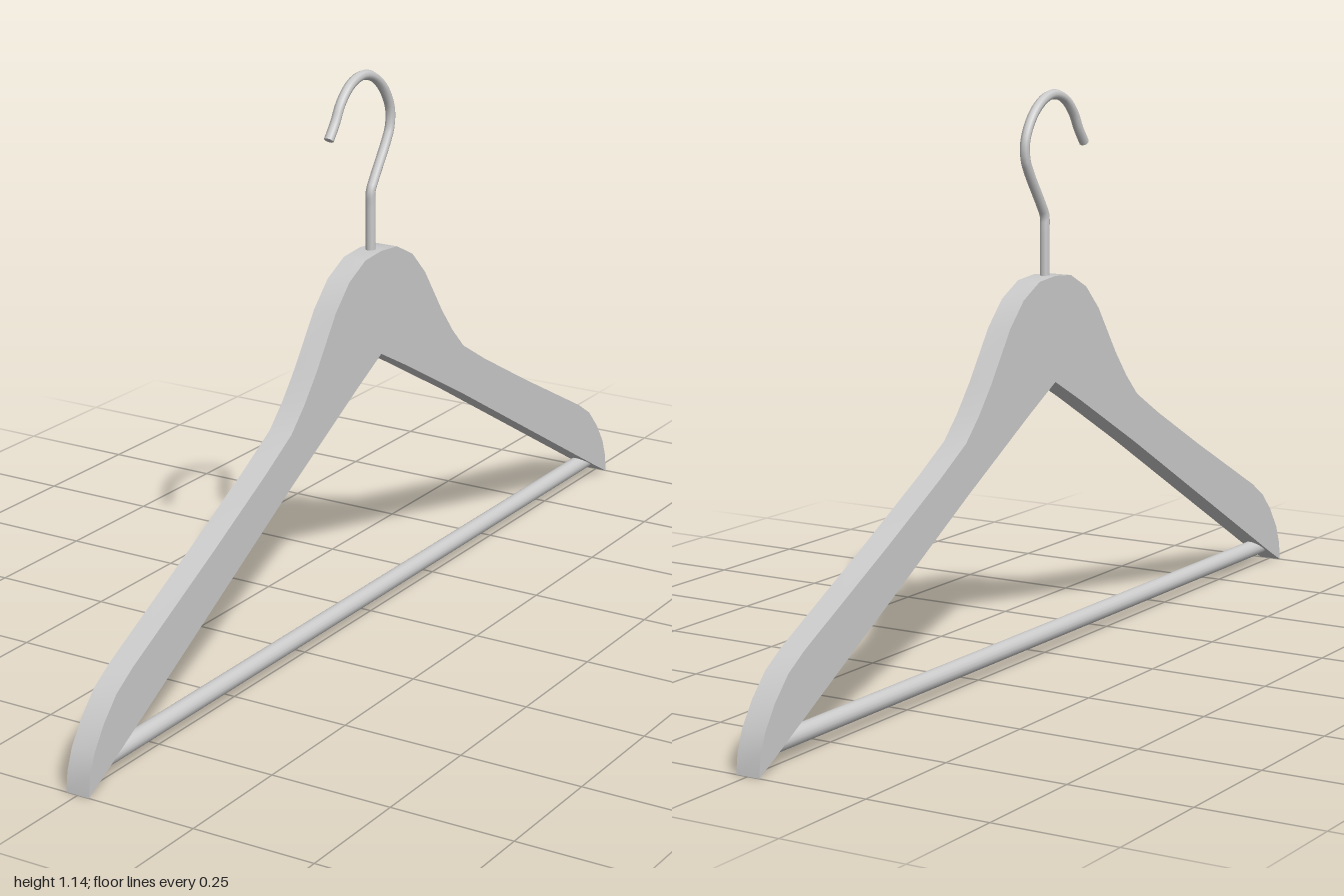
import * as THREE from 'three';
import { toCreasedNormals } from 'three/addons/utils/BufferGeometryUtils.js';

const material = new THREE.MeshStandardMaterial({ color: 0xcccccc });

function addMesh(parent, name, geometry) {
  const mesh = new THREE.Mesh(geometry, material);
  mesh.name = name;
  parent.add(mesh);
  return mesh;
}

// Wooden shoulders: mirrored side profile, extruded across x
function shouldersGeometry() {
  const thickness = 0.05;
  const upper = [[0.06, 0.765], [0.12, 0.735], [0.17, 0.685], [0.24, 0.585], [0.285, 0.53], [0.33, 0.485],
    [0.42, 0.432], [0.6, 0.335], [0.86, 0.2], [0.91, 0.168], [0.95, 0.125], [0.98, 0.08], [0.995, 0.04], [1, 0]];
  const lower = [[0.95, 0.027], [0.32, 0.385], [0.1, 0.505]];
  const half = [[0, 0.77], ...upper, ...lower, [0, 0.557]];
  const mirrored = half.slice(1, -1).reverse().map(([z, y]) => [-z, y]);
  const shape = new THREE.Shape([...half, ...mirrored].map(([z, y]) => new THREE.Vector2(z, y)));
  const geometry = new THREE.ExtrudeGeometry(shape, { depth: thickness, bevelEnabled: false });
  geometry.translate(0, 0, -thickness / 2);
  geometry.rotateY(-Math.PI / 2);
  return toCreasedNormals(geometry, Math.PI / 5);
}

export function createModel() {
  const hanger = new THREE.Group();
  hanger.name = 'coatHanger';

  addMesh(hanger, 'shoulders', shouldersGeometry());

  // Trouser bar between the shoulder tips
  const bar = new THREE.CylinderGeometry(0.018, 0.018, 1.89, 16);
  bar.rotateX(Math.PI / 2);
  addMesh(hanger, 'trouserBar', bar).position.y = 0.04;

  // Wire hook: straight stem, slanted neck, then the open loop
  const radius = 0.01;
  const points = [[0, 0.74], [0, 0.86], [0, 0.888], [-0.012, 0.909], [-0.06, 0.98], [-0.072, 1.005], [-0.073, 1.04],
    [-0.05, 1.083], [-0.012, 1.114], [0.03, 1.126], [0.075, 1.115], [0.11, 1.085], [0.13, 1.052], [0.153, 1.022]]
    .map(([z, y]) => new THREE.Vector3(0, y, z));
  const path = new THREE.CatmullRomCurve3(points, false, 'centripetal');
  const hook = new THREE.Group();
  hook.name = 'hook';
  addMesh(hook, 'hookWire', new THREE.TubeGeometry(path, 56, radius, 8, false));

  // Flat cap closing the wire's free end
  const cap = addMesh(hook, 'hookTip', new THREE.CircleGeometry(radius, 8));
  cap.position.copy(path.getPoint(1));
  cap.lookAt(cap.position.clone().add(path.getTangent(1)));
  hanger.add(hook);

  return hanger;
}
